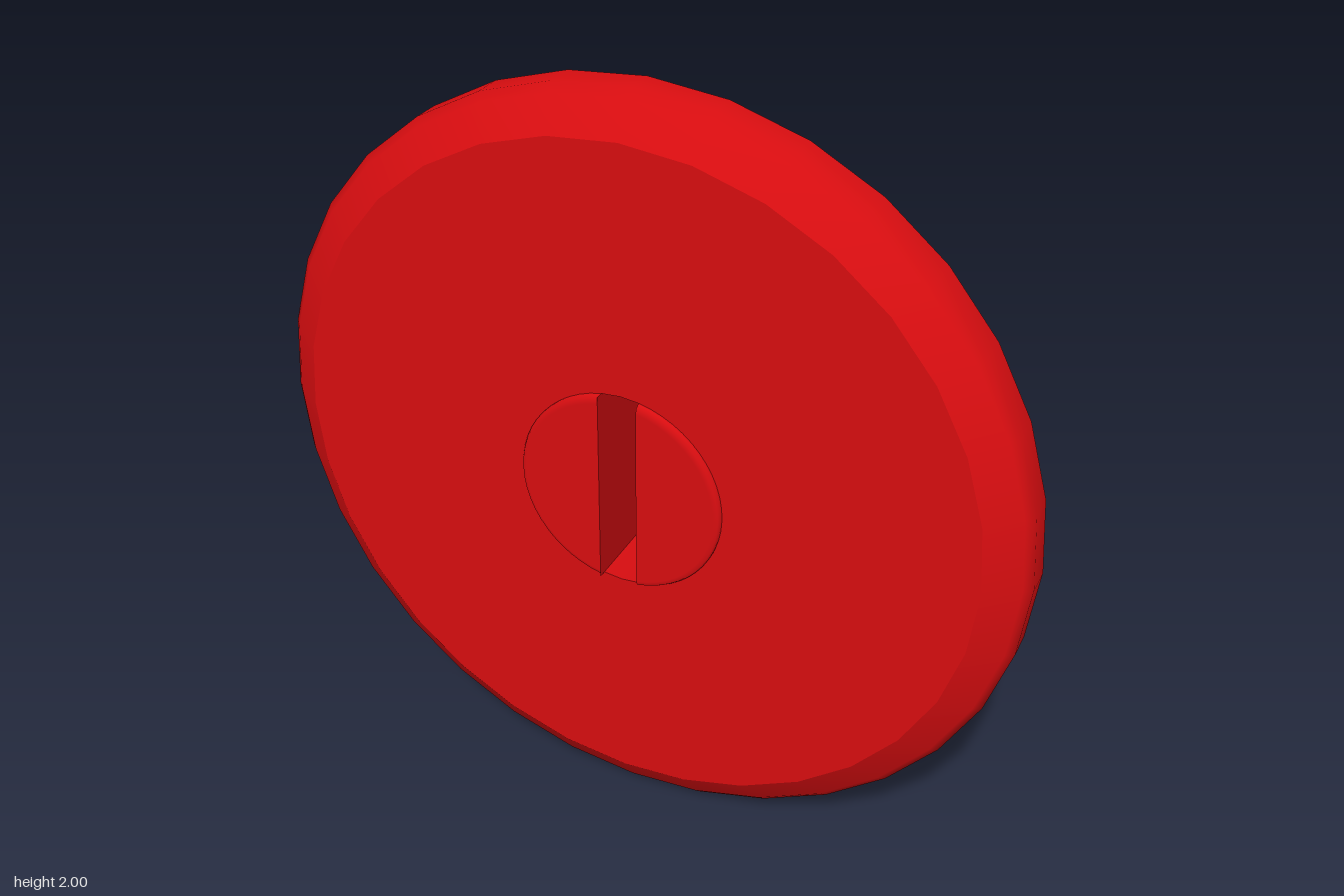
import * as THREE from 'three';
import { ParametricGeometry } from 'three/addons/geometries/ParametricGeometry.js';

const R = 0.268;          // radius of the raised centre
const SLOT = 0.05;        // half width of the slot
const FRONT = 0.15;       // z of the front face
const KNOB = 0.17;        // z of the raised centre
const DOME = [[0, -0.172], [0.11, -0.166], [0.28, -0.126], [0.53, 0.008], [1, 0.008]];
const SLOPE = [[0, 0], [0.11, 0.17], [0.28, 0.38], [0.53, 0.27], [1, 0]];

// piecewise linear lookup in a list of [position, value]
function lookup(table, r) {
  for (let i = 1; i < table.length; i++) {
    const [r0, a] = table[i - 1], [r1, b] = table[i];
    if (r <= r1) return a + (b - a) * (r - r0) / (r1 - r0);
  }
  return table[table.length - 1][1];
}
const domeZ = (x, y) => lookup(DOME, Math.hypot(x, y));

// smooth normals over the domed back
function smoothDome(geo) {
  const p = geo.attributes.position, n = geo.attributes.normal, v = new THREE.Vector3();
  for (let i = 0; i < p.count; i++) {
    const x = p.getX(i), y = p.getY(i), r = Math.hypot(x, y) || 1;
    const s = lookup(SLOPE, r);
    v.set(s * x / r, s * y / r, -1).normalize();
    n.setXYZ(i, v.x, v.y, v.z);
  }
  return geo;
}

// profile of [radius, z] turned about the z axis
function turned(profile) {
  const pts = profile.map(([r, z]) => new THREE.Vector2(r, z));
  return new THREE.LatheGeometry(pts, 32).rotateX(Math.PI / 2);
}

// point on the half disc beside the slot: u runs along the arc, t outwards
const arcEnd = Math.acos(SLOT / R);
function halfDisc(u, t) {
  const a = (2 * u - 1) * arcEnd;
  return [SLOT + (R * Math.cos(a) - SLOT) * t, R * Math.sin(a) * t];
}

export function createModel() {
  const model = new THREE.Group();
  const red = new THREE.MeshStandardMaterial({ color: 0xd90d10 });
  const add = (name, geo, parent = model) => {
    const mesh = new THREE.Mesh(geo, red);
    mesh.name = name;
    parent.add(mesh);
  };

  // disc with a hole in the middle
  add('bevelledRim', turned([[1, 0.008], [1, 0.08], [0.98, 0.1], [0.9, FRONT]]));
  add('frontFace', turned([[0.9, FRONT], [R, FRONT]]));
  add('slotEnds', turned([[R, FRONT], [R, domeZ(R, 0)]]));
  add('domedBack', smoothDome(turned([[R, domeZ(R, 0)], ...DOME.slice(2)])));

  // the two halves of the centre, one each side of the slot
  const knobRows = [[0.001, KNOB], [0.93, KNOB], [0.98, 0.165], [1, 0.157], [1, 0.145]];
  for (const side of [0, 1]) {
    const half = new THREE.Group();
    half.name = side ? 'rightCentre' : 'leftCentre';
    half.rotation.z = side * Math.PI;

    add('raisedFront', new ParametricGeometry((u, v, out) => {
      const k = v * 4, i = Math.min(3, Math.floor(k)), f = k - i;
      const t = knobRows[i][0] + (knobRows[i + 1][0] - knobRows[i][0]) * f;
      const z = knobRows[i][1] + (knobRows[i + 1][1] - knobRows[i][1]) * f;
      out.set(...halfDisc(1 - u, t), z);
    }, 24, 4), half);

    add('domeTop', smoothDome(new ParametricGeometry((u, v, out) => {
      const [x, y] = halfDisc(u, 0.001 + 0.999 * v);
      out.set(x, y, domeZ(x, y));
    }, 24, 8)), half);

    add('slotWall', new ParametricGeometry((u, v, out) => {
      const y = (1 - 2 * u) * R * Math.sin(arcEnd);
      const back = domeZ(SLOT, y);
      out.set(SLOT, y, back + (KNOB - back) * v);
    }, 16, 1), half);

    model.add(half);
  }

  for (const part of model.children) part.position.y = 1;
  return model;
}
